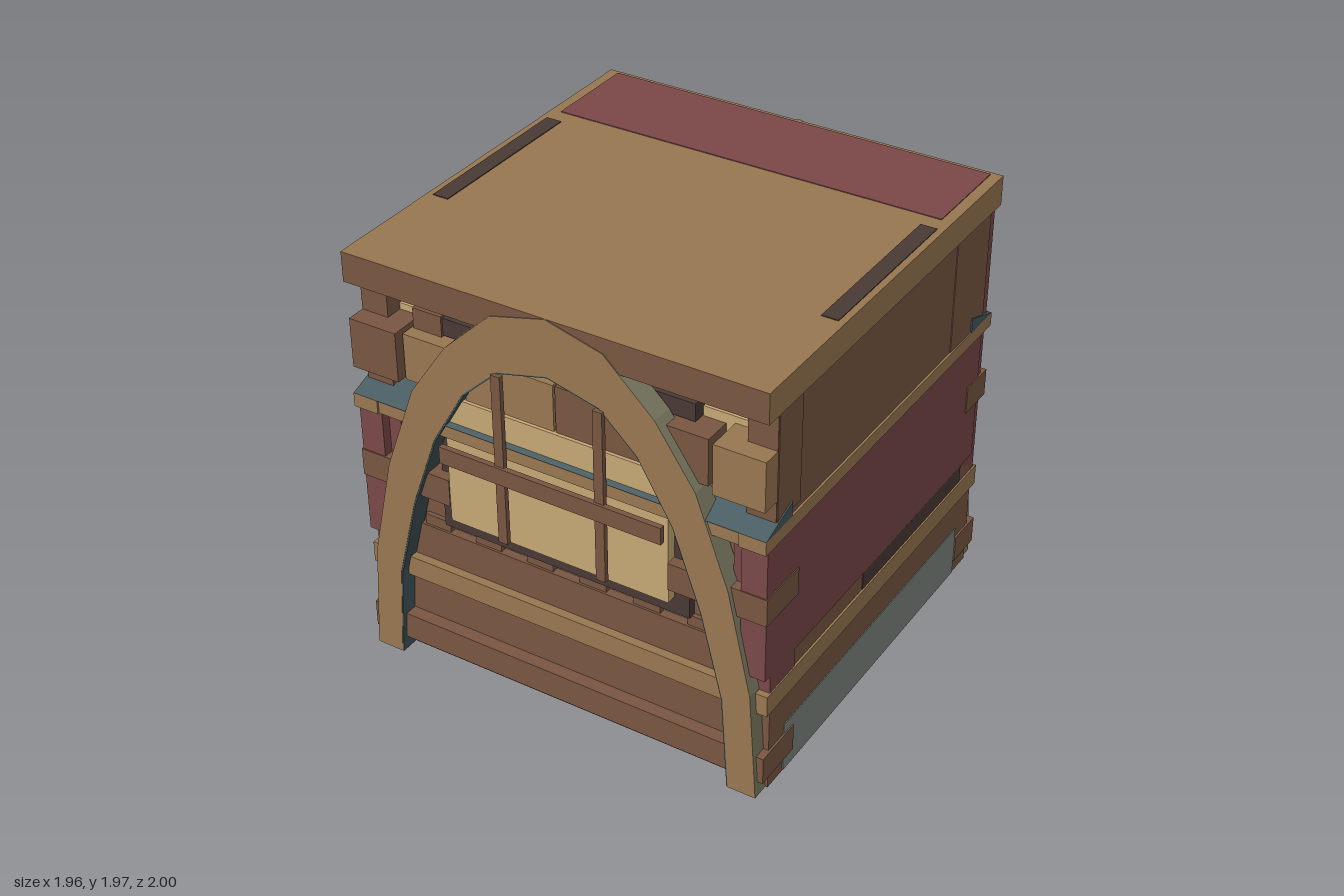
import * as THREE from 'three';

export function createModel() {
  const root = new THREE.Group();
  const mat = (name, color) => {
    const m = new THREE.MeshStandardMaterial({ color });
    m.name = name;
    return m;
  };
  const tan = mat('tanWood', 0x9a7852);
  const brown = mat('brownWood', 0x7a5743);
  const maroon = mat('maroonPanel', 0x7c4949);
  const dark = mat('darkWood', 0x4a3a35);
  const yellow = mat('paleYellow', 0xc8a976);
  const beige = mat('beigePlaster', 0xa09478);
  const teal = mat('tealSlate', 0x465a60);
  const grey = mat('greyStone', 0x808680);
  const olive = mat('oliveEdge', 0x78765f);

  // box given by its limits on each axis
  const box = (name, m, x0, x1, y0, y1, z0, z1) => {
    const mesh = new THREE.Mesh(new THREE.BoxGeometry(x1 - x0, y1 - y0, z1 - z0), m);
    mesh.position.set((x0 + x1) / 2, (y0 + y1) / 2, (z0 + z1) / 2);
    mesh.name = name;
    root.add(mesh);
    return mesh;
  };
  // the same box on both sides of x = 0
  const pair = (name, m, x0, x1, y0, y1, z0, z1) => {
    box(name + 'Left', m, x0, x1, y0, y1, z0, z1);
    box(name + 'Right', m, -x1, -x0, y0, y1, z0, z1);
  };

  // inner body and floor slats
  box('core', beige, -0.9, 0.9, 0.015, 1.84, -0.9, 0.78);
  for (let i = 0; i < 6; i++) {
    const x = -0.785 + i * 0.26;
    box('floorSlat', brown, x, x + 0.13, 0, 0.02, -0.9, 0.86);
  }

  // roof with coloured ends and painted top
  box('roof', [tan, tan, tan, brown, brown, brown], -0.98, 0.98, 1.83, 1.968, -0.99, 0.97);
  box('roofPanel', maroon, -0.93, 0.93, 1.965, 1.972, -0.97, -0.51);
  pair('roofStrip', dark, 0.875, 0.95, 1.965, 1.972, -0.43, 0.4);

  // side walls
  pair('sideBase', brown, 0.86, 0.97, 0, 0.42, -0.93, 0.89);
  pair('sideStone', grey, 0.965, 0.974, 0.003, 0.25, -0.8, 0.77);
  pair('sideLowerRail', tan, 0.86, 0.98, 0.41, 0.51, -0.96, 0.93);
  pair('sideGap', brown, 0.86, 0.97, 0.51, 0.6, -0.91, 0.89);
  pair('sideGapSlot', dark, 0.965, 0.974, 0.513, 0.598, -0.8, 0.12);
  pair('sidePanel', maroon, 0.86, 0.975, 0.6, 1.24, -0.91, 0.945);
  pair('sideUpperRail', tan, 0.86, 0.98, 1.235, 1.3, -0.99, 0.97);
  pair('sideUpperWall', brown, 0.84, 0.97, 1.3, 1.83, -0.6, 0.88);
  pair('sideUpperWallRear', brown, 0.84, 0.974, 1.3, 1.83, -0.91, -0.598);

  // front base, rail, sill and slots below the window
  box('frontBase', brown, -0.96, 0.96, 0.005, 0.42, 0.7, 0.89);
  box('frontFootBeam', brown, -0.98, 0.98, 0.07, 0.2, 0.7, 0.95);
  box('frontLowerRail', tan, -0.98, 0.98, 0.41, 0.51, 0.7, 0.93);
  box('frontSill', brown, -0.86, 0.86, 0.51, 0.68, 0.7, 0.89);
  box('slotBack', beige, -0.66, 0.66, 0.67, 0.74, 0.7, 0.85);
  for (let i = 0; i < 6; i++) {
    const x = -0.72 + i * 0.26;
    box('sillBlock', brown, x, x + 0.13, 0.68, 0.73, 0.7, 0.88);
  }

  // front wall and window
  pair('frontPanel', maroon, 0.8, 0.974, 0.51, 1.24, 0.7, 0.9);
  pair('windowPost', brown, 0.6, 0.82, 0.68, 1.24, 0.7, 0.86);
  box('windowSurround', dark, -0.6, 0.6, 0.73, 1.24, 0.7, 0.9);
  box('windowPane', yellow, -0.53, 0.53, 0.81, 1.43, 0.75, 0.945);
  pair('frontBeam', brown, 0.53, 0.98, 0.88, 1.01, 0.7, 0.95);
  box('frontUpperRail', tan, -0.98, 0.98, 1.235, 1.3, 0.7, 0.96);
  for (const x of [-0.238, 0.238]) box('windowBar', brown, x - 0.022, x + 0.022, 0.83, 1.64, 0.965, 0.988);
  box('windowCrossBar', brown, -0.53, 0.53, 1.13, 1.21, 0.975, 1);

  // sloping slate ledges above the upper rails
  const ledgeShape = new THREE.Shape([[0, 0], [0.2, 0], [0, 0.07]].map(p => new THREE.Vector2(...p)));
  const ledgeGeo = new THREE.ExtrudeGeometry(ledgeShape, { depth: 1.96, bevelEnabled: false });
  ledgeGeo.translate(0, 0, -0.98);
  for (const s of [1, -1]) {
    const ledge = new THREE.Mesh(ledgeGeo, teal);
    ledge.name = s > 0 ? 'frontLedge' : 'backLedge';
    ledge.rotation.y = -s * Math.PI / 2;
    ledge.position.set(0, 1.3, s > 0 ? 0.77 : -0.79);
    root.add(ledge);
  }

  // open upper storey with its row of blocks
  box('upperPane', yellow, -0.84, 0.84, 1.35, 1.69, 0.7, 0.8);
  pair('cornerPost', brown, 0.84, 0.974, 1.33, 1.83, 0.7, 0.875);
  box('lintel', dark, -0.6, 0.6, 1.65, 1.73, 0.75, 0.86);
  [[-0.97, -0.74, brown], [-0.73, -0.44, tan], [-0.43, -0.005, tan],
    [0.005, 0.43, brown], [0.44, 0.7, brown], [0.74, 0.97, tan]].forEach(([a, b, m], i) => {
    const outer = i === 0 || i === 5;
    box('upperBlock', m, a, b, 1.43, outer ? 1.66 : 1.645, 0.76, outer ? 0.967 : 0.93);
  });
  box('topBlock', brown, -0.72, -0.58, 1.6, 1.74, 0.75, 0.87);
  pair('blockTie', dark, 0.7, 0.76, 1.47, 1.55, 0.75, 0.87);

  // back wall
  box('backBase', brown, -0.96, 0.96, 0.005, 0.42, -0.93, -0.8);
  box('backFootBeam', brown, -0.98, 0.98, 0.07, 0.2, -0.985, -0.8);
  box('backLowerRail', brown, -0.975, 0.975, 0.41, 0.51, -0.955, -0.8);
  box('backPanel', maroon, -0.97, 0.97, 0.51, 1.24, -0.945, -0.8);
  box('backBeam', brown, -0.98, 0.98, 0.88, 1.01, -0.985, -0.8);
  box('backUpperRail', tan, -0.98, 0.98, 1.235, 1.3, -0.985, -0.8);
  box('backUpperPanel', maroon, -0.965, 0.965, 1.3, 1.83, -0.965, -0.8);

  // pointed arches at front and back, with a slate lining
  const outer = [[0.96, 0], [0.925, 0.52], [0.82, 1], [0.67, 1.415], [0.49, 1.68], [0.26, 1.9], [0, 1.968]];
  const inner = [[0.83, 0], [0.8, 0.45], [0.7, 0.85], [0.57, 1.215], [0.41, 1.49], [0.24, 1.65], [0, 1.71]];
  const lining = inner.map(([x, y]) => [x * 0.992, y * 0.996]);
  const full = half => [...half, ...half.slice(0, -1).reverse().map(([x, y]) => [-x, y])];
  const band = (name, a, b, z0, z1, mats) => {
    const pts = [...full(a), ...full(b).reverse()].map(p => new THREE.Vector2(...p));
    const geo = new THREE.ExtrudeGeometry(new THREE.Shape(pts), { depth: z1 - z0, bevelEnabled: false });
    const mesh = new THREE.Mesh(geo, mats);
    mesh.position.z = z0;
    mesh.name = name;
    root.add(mesh);
  };
  for (const [side, z0, z1] of [['front', 0.87, 0.974], ['back', -1, -0.9]]) {
    band(side + 'Arch', outer, inner, z0, z1, [tan, olive]);
    band(side + 'ArchLining', inner, lining, z0 + 0.002, z1 - 0.002, teal);
  }
  return root;
}
